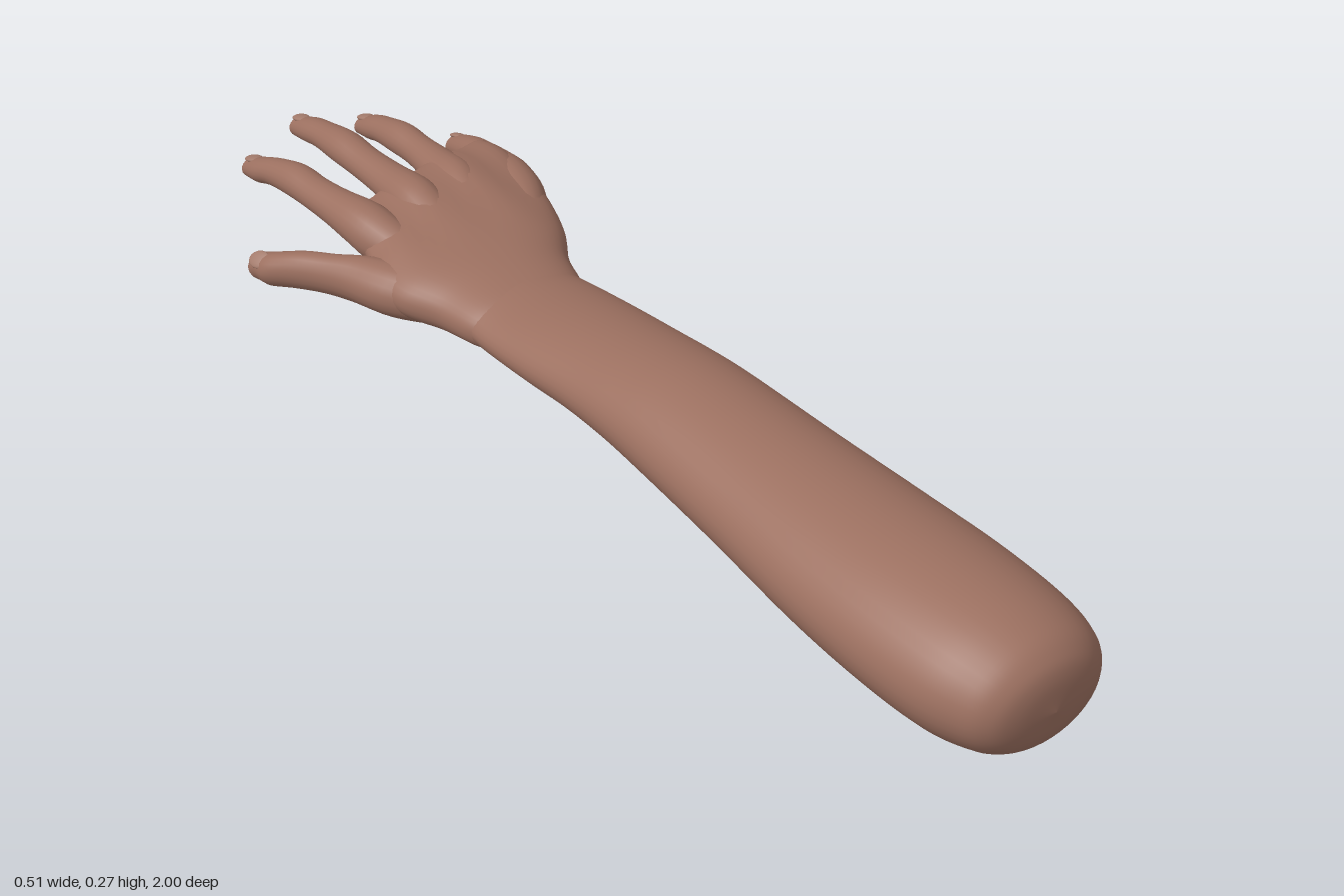
import * as THREE from 'three';

const skin = new THREE.MeshStandardMaterial({ color: 0x9c7060 });
skin.name = 'skin';
const nail = new THREE.MeshStandardMaterial({ color: 0xa27a6b });
nail.name = 'nail';

// Smooth closed loft through sections [x, y, z, halfWidth, halfHeight] running towards -z
function loft(name, sections, steps, sides, power = 2) {
  const centres = new THREE.CatmullRomCurve3(sections.map(s => new THREE.Vector3(s[0], s[1], s[2])), false, 'catmullrom', 0.5);
  const radii = new THREE.CatmullRomCurve3(sections.map(s => new THREE.Vector3(s[3], s[4], 0)), false, 'catmullrom', 0.5);
  const round = v => Math.sign(v) * Math.pow(Math.abs(v), 2 / power);
  const pos = [], index = [];
  for (let i = 0; i <= steps; i++) {
    const c = centres.getPoint(i / steps), r = radii.getPoint(i / steps);
    for (let j = 0; j < sides; j++) {
      const a = (j / sides) * Math.PI * 2;
      pos.push(c.x + Math.max(r.x, 0) * round(Math.cos(a)), c.y + Math.max(r.y, 0) * round(Math.sin(a)), c.z);
      if (i === steps) continue;
      const k = (j + 1) % sides, p = i * sides, q = p + sides;
      index.push(p + j, q + j, p + k, p + k, q + j, q + k);
    }
  }
  const g = new THREE.BufferGeometry();
  g.setAttribute('position', new THREE.Float32BufferAttribute(pos, 3));
  g.setIndex(index);
  g.computeVertexNormals();
  const mesh = new THREE.Mesh(g, skin);
  mesh.name = name;
  return mesh;
}

// Finger: a tapering loft closed by a rounded tip, with a nail on its back
function finger(name, sections, roll = 0) {
  const [x, y, z, w, h] = sections[sections.length - 1];
  const [px, py, pz] = sections[sections.length - 2];
  const dx = (x - px) / (pz - z), dy = (y - py) / (pz - z);
  const tip = [[0.4, 0.92], [0.75, 0.66], [0.93, 0.36], [1, 0]].map(([t, s]) => {
    const d = t * w * 1.2;
    return [x + dx * d, y + dy * d, z - d, w * s, h * s];
  });
  const group = new THREE.Group();
  group.name = name;
  group.add(loft(name + 'Flesh', [...sections, ...tip], 48, 20));
  const plate = new THREE.Mesh(new THREE.SphereGeometry(1, 16, 10), nail);
  plate.name = name + 'Nail';
  plate.scale.set(w * 0.62, 0.0045, 0.023);
  plate.position.set(x - Math.sin(roll) * w * 0.9, y + Math.cos(roll) * h * 0.93, z);
  plate.rotation.set(Math.atan(dy), -Math.atan(dx), roll, 'YXZ');
  group.add(plate);
  return group;
}

export function createModel() {
  const model = new THREE.Group();
  model.name = 'forearmAndHand';

  // Forearm, from the rounded elbow end to the wrist
  model.add(loft('forearm', [
    [0.025, 0.165, 1.0, 0, 0],
    [0.025, 0.165, 0.992, 0.065, 0.05],
    [0.025, 0.165, 0.975, 0.103, 0.078],
    [0.025, 0.166, 0.94, 0.128, 0.097],
    [0.02, 0.167, 0.87, 0.145, 0.108],
    [0.016, 0.166, 0.75, 0.151, 0.107],
    [0.015, 0.16, 0.6, 0.147, 0.1],
    [0.018, 0.152, 0.4, 0.134, 0.091],
    [0.02, 0.144, 0.2, 0.124, 0.084],
    [0.021, 0.136, 0.1, 0.12, 0.076],
    [0.022, 0.122, 0, 0.118, 0.067],
    [0.021, 0.106, -0.1, 0.119, 0.06],
    [0.019, 0.092, -0.2, 0.117, 0.052],
    [0.015, 0.087, -0.26, 0.112, 0.051],
    [0.015, 0.083, -0.32, 0.115, 0.051],
    [0.02, 0.083, -0.38, 0.1, 0.045],
    [0.02, 0.083, -0.4, 0, 0],
  ], 110, 40));

  // Palm, widening from the wrist and closing between the knuckles
  const palm = loft('palm', [
    [0.014, 0.086, -0.2, 0.09, 0.04],
    [0.013, 0.086, -0.25, 0.112, 0.051],
    [0.016, 0.083, -0.32, 0.131, 0.058],
    [0.022, 0.081, -0.39, 0.166, 0.062],
    [0.035, 0.083, -0.46, 0.181, 0.061],
    [0.05, 0.087, -0.52, 0.177, 0.058],
    [0.06, 0.092, -0.58, 0.173, 0.051],
    [0.062, 0.094, -0.63, 0.163, 0.038],
    [0.062, 0.092, -0.66, 0.142, 0.022],
    [0.062, 0.09, -0.67, 0, 0],
  ], 70, 48, 2.2);
  // Slant the knuckle line and raise soft tendon ridges on the back of the hand
  const p = palm.geometry.attributes.position;
  for (let i = 0; i < p.count; i++) {
    const x = p.getX(i), y = p.getY(i), z = p.getZ(i);
    const t = THREE.MathUtils.smoothstep(-z, 0.35, 0.6);
    p.setZ(i, z - t * (x - 0.03) * 0.2);
    if (y > 0.1) p.setY(i, y + t * 0.004 * Math.cos((x - 0.015) * Math.PI * 2 / 0.1));
  }
  palm.geometry.computeVertexNormals();
  model.add(palm);

  // Fingers, each from inside the palm over the knuckles to the tip
  model.add(finger('thumb', [
    [-0.06, 0.075, -0.33, 0.04, 0.035],
    [-0.105, 0.072, -0.42, 0.054, 0.046],
    [-0.142, 0.067, -0.5, 0.043, 0.043],
    [-0.172, 0.061, -0.55, 0.034, 0.038],
    [-0.2, 0.052, -0.6, 0.034, 0.036],
    [-0.222, 0.04, -0.64, 0.033, 0.033],
    [-0.231, 0.034, -0.665, 0.026, 0.028],
  ], 0.7));
  model.add(finger('indexFinger', [
    [-0.05, 0.085, -0.42, 0.03, 0.03],
    [-0.075, 0.097, -0.53, 0.042, 0.043],
    [-0.083, 0.104, -0.59, 0.043, 0.04],
    [-0.09, 0.1, -0.66, 0.035, 0.033],
    [-0.095, 0.094, -0.73, 0.031, 0.029],
    [-0.097, 0.088, -0.79, 0.031, 0.03],
    [-0.101, 0.073, -0.85, 0.027, 0.026],
    [-0.104, 0.057, -0.89, 0.026, 0.025],
    [-0.105, 0.043, -0.927, 0.021, 0.02],
  ]));
  model.add(finger('middleFinger', [
    [0.015, 0.095, -0.42, 0.03, 0.03],
    [0.015, 0.107, -0.53, 0.04, 0.042],
    [0.016, 0.114, -0.59, 0.042, 0.041],
    [0.018, 0.107, -0.67, 0.035, 0.032],
    [0.018, 0.1, -0.75, 0.031, 0.029],
    [0.018, 0.096, -0.82, 0.032, 0.03],
    [0.02, 0.082, -0.89, 0.027, 0.025],
    [0.021, 0.069, -0.935, 0.026, 0.024],
    [0.021, 0.055, -0.976, 0.021, 0.02],
  ]));
  model.add(finger('ringFinger', [
    [0.075, 0.092, -0.42, 0.03, 0.03],
    [0.096, 0.104, -0.54, 0.038, 0.04],
    [0.107, 0.109, -0.6, 0.04, 0.039],
    [0.115, 0.1, -0.67, 0.035, 0.032],
    [0.12, 0.092, -0.74, 0.029, 0.028],
    [0.122, 0.085, -0.8, 0.03, 0.029],
    [0.125, 0.069, -0.86, 0.026, 0.025],
    [0.127, 0.054, -0.9, 0.025, 0.024],
    [0.127, 0.041, -0.932, 0.02, 0.019],
  ]));
  model.add(finger('littleFinger', [
    [0.13, 0.083, -0.4, 0.035, 0.035],
    [0.178, 0.089, -0.5, 0.045, 0.038],
    [0.198, 0.091, -0.57, 0.042, 0.037],
    [0.21, 0.082, -0.635, 0.035, 0.032],
    [0.217, 0.071, -0.69, 0.029, 0.028],
    [0.225, 0.058, -0.73, 0.026, 0.026],
    [0.232, 0.039, -0.775, 0.023, 0.024],
    [0.235, 0.027, -0.803, 0.019, 0.02],
  ], -0.25));

  return model;
}
